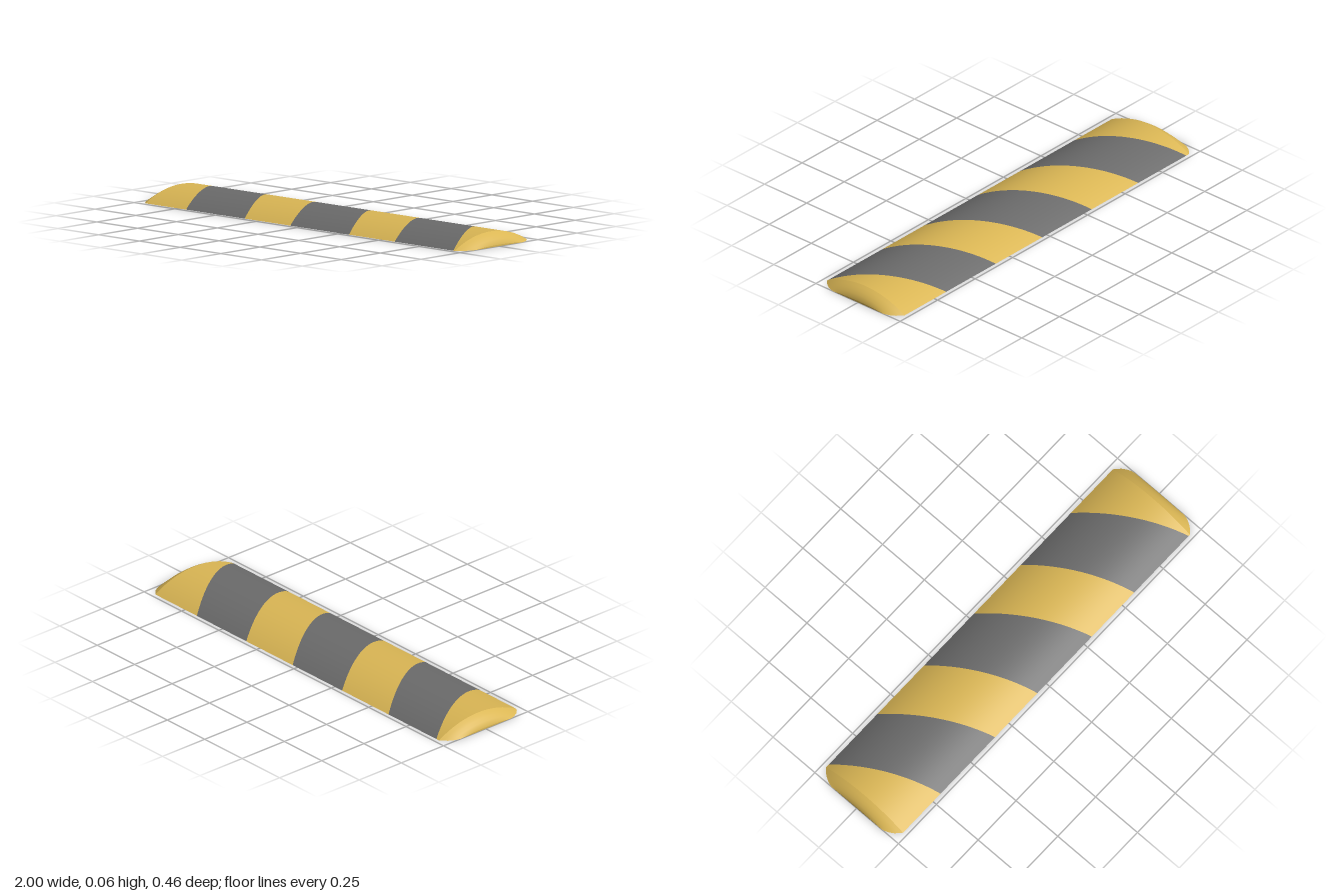
import * as THREE from 'three';

const HALF = 0.23, HEIGHT = 0.061, BODY = 0.948, STEPS = 32;
const RADIUS = (HALF * HALF + HEIGHT * HEIGHT) / (2 * HEIGHT);

// Height of the domed profile at depth z
const dome = (z) => Math.max(0, Math.sqrt(RADIUS * RADIUS - z * z) - RADIUS + HEIGHT);

// A line of points running back to front; xAt gives x for t = 0..1
function line(xAt, halfWidth = HALF, height = HEIGHT) {
  return Array.from({ length: STEPS + 1 }, (_, j) => {
    const s = (2 * j) / STEPS - 1;
    return [xAt(j / STEPS), dome(s * HALF) * height / HEIGHT, s * halfWidth];
  });
}
const flat = (points) => points.map(([x, , z]) => [x, 0, z]);

// Smooth surface through a row of lines
function sheet(lines, material, name) {
  const index = [], n = STEPS + 1;
  for (let i = 0; i < lines.length - 1; i++) {
    for (let j = 0; j < STEPS; j++) {
      const a = i * n + j, b = a + n;
      index.push(a, a + 1, b, a + 1, b + 1, b);
    }
  }
  const geometry = new THREE.BufferGeometry();
  geometry.setAttribute('position', new THREE.Float32BufferAttribute(lines.flat(2), 3));
  geometry.setIndex(index);
  geometry.computeVertexNormals();
  const mesh = new THREE.Mesh(geometry, material);
  mesh.name = name;
  return mesh;
}

export function createModel() {
  const yellow = new THREE.MeshStandardMaterial({ name: 'warning yellow', color: 0xdab654 });
  const grey = new THREE.MeshStandardMaterial({ name: 'dark grey', color: 0x6b6b6b });
  const model = new THREE.Group();
  model.name = 'speedBump';

  // Slanted stripe borders as [x at back, x at front], slightly bowed
  const borders = [[-0.93, -0.70], [-0.61, -0.34], [-0.30, -0.06], [0.03, 0.30], [0.34, 0.58], [0.67, 0.94]];
  const edges = [
    line(() => -BODY),
    ...borders.map(([back, front]) => line((t) => back + (front - back) * t + 0.06 * t * (1 - t))),
    line(() => BODY),
  ];

  // Domed top and flat underside of each stripe
  for (let i = 0; i < edges.length - 1; i++) {
    const pair = [edges[i], edges[i + 1]];
    const stripe = new THREE.Group();
    stripe.name = i % 2 ? 'greyStripe' : 'yellowStripe';
    const material = i % 2 ? grey : yellow;
    stripe.add(sheet(pair, material, 'stripeTop'));
    stripe.add(sheet(pair.map(flat).reverse(), material, 'stripeUnderside'));
    model.add(stripe);
  }

  // Rounded, sloping ends as [x, half width, height]
  const sections = [[BODY, HALF, HEIGHT], [0.963, 0.217, 0.053], [0.977, 0.202, 0.043], [0.989, 0.182, 0.031], [0.997, 0.163, 0.018], [1, 0.148, 0.007]];
  for (const side of [1, -1]) {
    const lines = sections.map(([x, w, h]) => line(() => side * x, w, h));
    const tip = lines[lines.length - 1];
    const order = (list) => (side > 0 ? list : [...list].reverse());
    const cap = new THREE.Group();
    cap.name = side > 0 ? 'leftEnd' : 'rightEnd';
    cap.add(sheet(order(lines), yellow, 'endSlope'));
    cap.add(sheet(order(lines.map(flat)).reverse(), yellow, 'endUnderside'));
    cap.add(sheet(order([tip, flat(tip)]), yellow, 'endLip'));
    model.add(cap);
  }
  return model;
}
